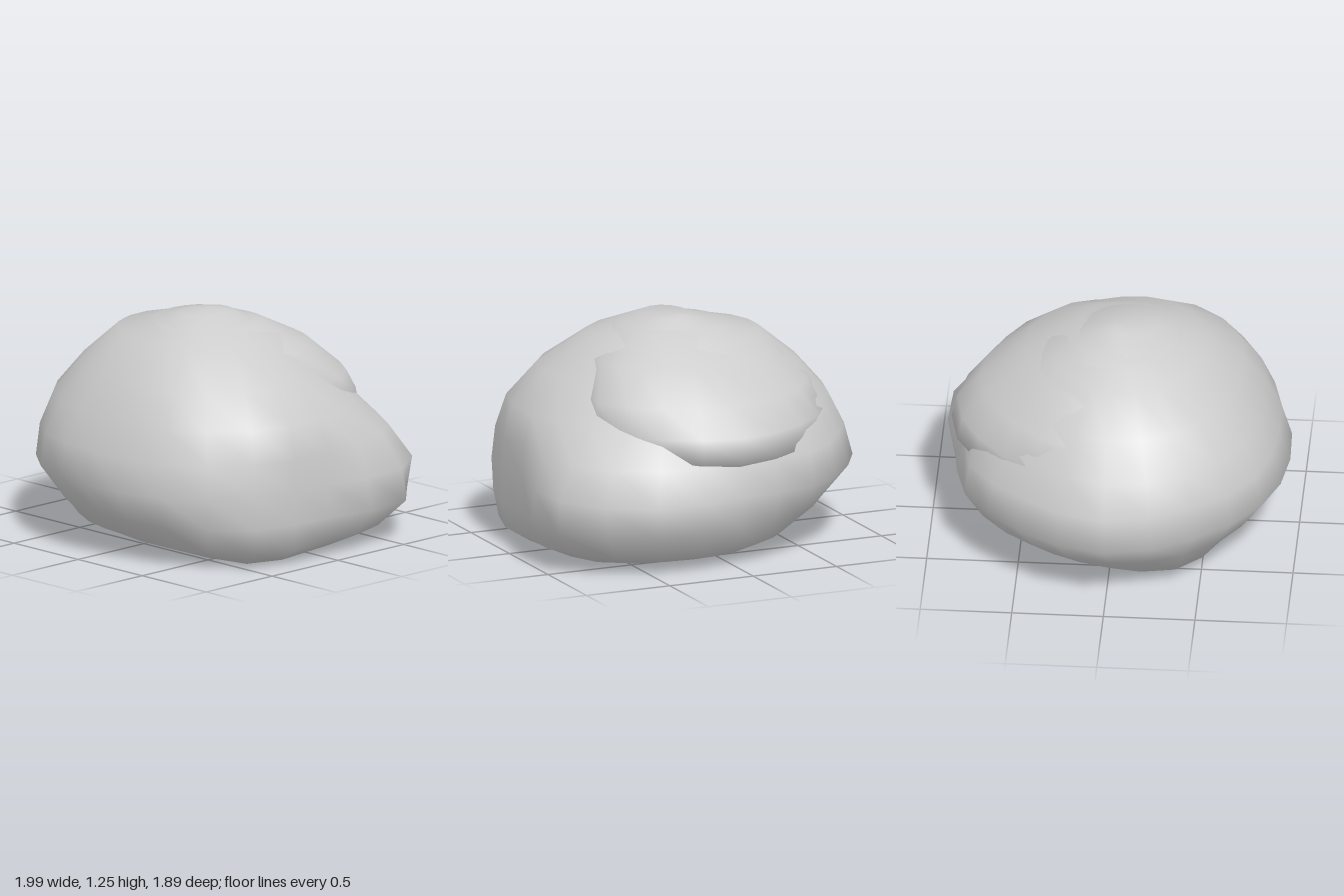
import * as THREE from 'three';

const stone = new THREE.MeshStandardMaterial({ color: 0xcccccc, side: THREE.DoubleSide });
stone.name = 'grey stone';

// Each ring: height, then radii every 30 degrees from +x towards +z
const BODY = [
  [1.25, .15, .18, .22, .22, .16, .10, .06, .06, .06, .08, .10, .13],
  [1.14, .45, .50, .51, .48, .49, .51, .49, .43, .39, .36, .36, .41],
  [.96, .69, .77, .75, .68, .69, .71, .71, .65, .62, .59, .57, .61],
  [.78, .87, .93, .88, .81, .84, .86, .87, .80, .78, .75, .76, .81],
  [.60, .92, .99, .96, .89, .92, .93, .96, .89, .89, .82, .94, .98],
  [.42, .92, 1.01, 1.0, .95, .95, .95, 1.0, .94, .92, .88, 1.07, 1.09],
  [.24, .94, 1.0, .94, .83, .82, .83, .82, .79, .81, .86, 1.0, 1.11],
  [.09, .90, .97, .80, .66, .68, .73, .64, .61, .65, .73, .88, .95],
  [.01, .75, .82, .48, .40, .38, .36, .32, .40, .48, .52, .60, .74],
];

// Upper layer, overhanging the body at the back and left
const CROWN = [
  [1.20, .31, .34, .35, .35, .32, .30, .28, .27, .24, .22, .26, .30],
  [1.07, .52, .52, .50, .50, .50, .55, .56, .53, .49, .50, .53, .55],
  [.90, .56, .50, .50, .50, .60, .70, .73, .72, .71, .74, .73, .74],
  [.75, .58, .50, .50, .50, .60, .70, .80, .81, .83, .87, .82, .76],
  [.62, .55, .50, .50, .50, .50, .60, .70, .78, .85, .90, .84, .70],
  [.54, .45, .45, .45, .45, .45, .50, .60, .68, .70, .74, .68, .55],
];

const flatRing = (y, r) => [y, ...Array(12).fill(r)];

// Periodic Catmull-Rom interpolation of one ring's radii
function radiusAt(radii, t) {
  const n = radii.length, i = Math.floor(t), f = t - i;
  const [a, b, c, d] = [-1, 0, 1, 2].map(k => radii[(i + k + n) % n]);
  return b + 0.5 * f * (c - a + f * (2 * a - 5 * b + 4 * c - d + f * (3 * (b - c) + d - a)));
}

// Skin stacked rings from top to bottom
function loft(rings) {
  const seg = 24, pos = [], index = [];
  rings.forEach(([y, ...radii], r) => {
    for (let j = 0; j < seg; j++) {
      const a = j / seg * Math.PI * 2;
      const rad = radiusAt(radii, j / seg * 12);
      pos.push(Math.cos(a) * rad, y, Math.sin(a) * rad);
      if (r < rings.length - 1) {
        const k = r * seg + j, k1 = r * seg + (j + 1) % seg;
        index.push(k, k1, k + seg, k1, k1 + seg, k + seg);
      }
    }
  });
  const g = new THREE.BufferGeometry();
  g.setAttribute('position', new THREE.Float32BufferAttribute(pos, 3));
  g.setIndex(index);
  g.computeVertexNormals();
  return g;
}

export function createModel() {
  const group = new THREE.Group();
  group.name = 'boulder';
  const add = (name, rings) => {
    const mesh = new THREE.Mesh(loft(rings), stone);
    mesh.name = name;
    group.add(mesh);
  };
  // the body closes with a hollow underneath
  add('body', [flatRing(1.255, 0), ...BODY, flatRing(.14, .28), flatRing(.20, 0)]);
  add('crown', [flatRing(1.24, 0), ...CROWN, flatRing(.54, 0)]);
  return group;
}
